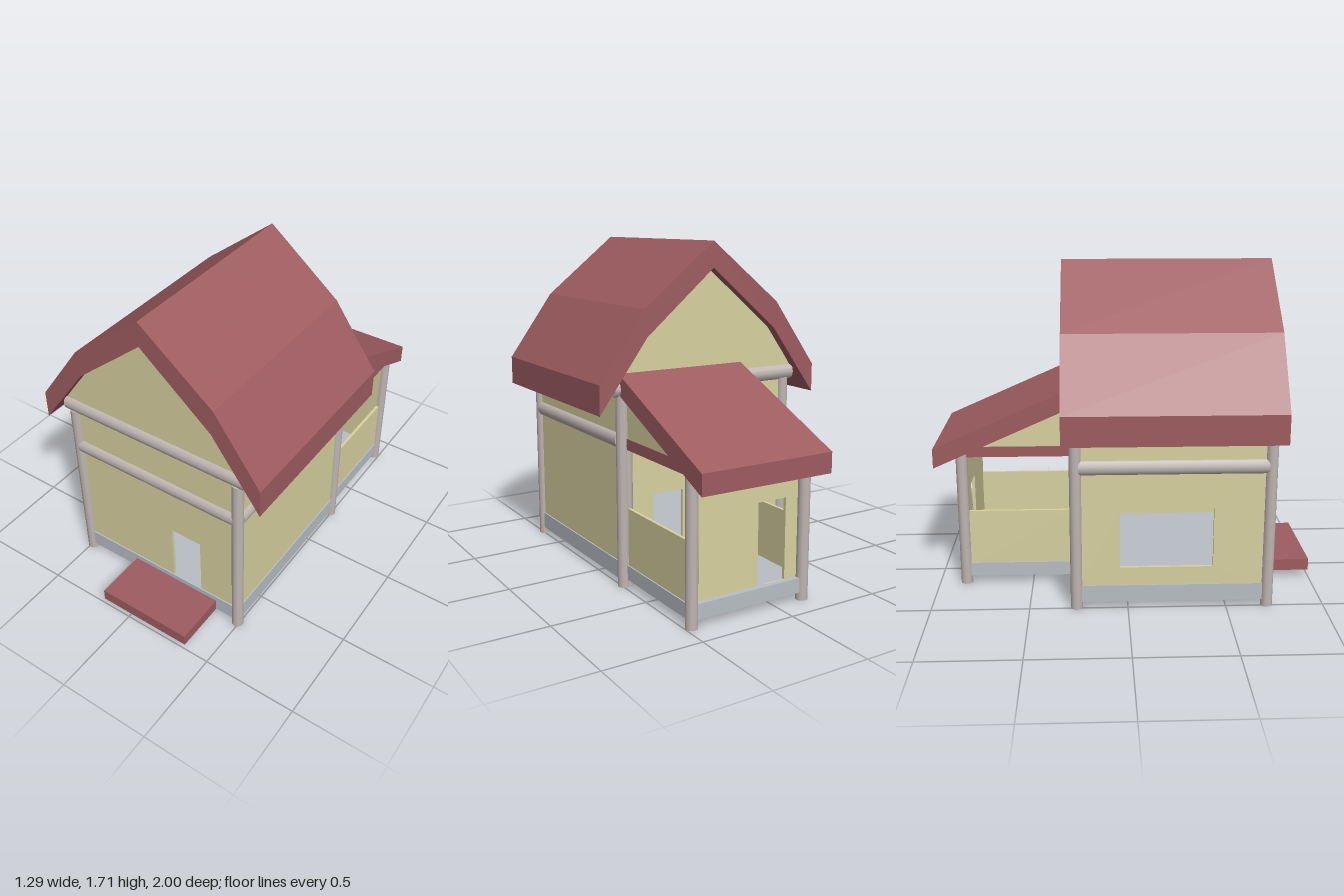
import * as THREE from 'three';

const mat = (name, color) => {
  const m = new THREE.MeshStandardMaterial({ color });
  m.name = name;
  return m;
};

export function createModel() {
  const group = new THREE.Group();
  const red = mat('roofRed', 0x9e5c60);
  const cream = mat('wallCream', 0xd8d1a0);
  const timber = mat('timberGrey', 0xc0b6b3);
  const stone = mat('floorGrey', 0xb8bec5);

  const add = (name, geo, material) => {
    const mesh = new THREE.Mesh(geo, material);
    mesh.name = name;
    group.add(mesh);
    return mesh;
  };
  const box = (name, material, [x0, x1], [y0, y1], [z0, z1]) =>
    add(name, new THREE.BoxGeometry(x1 - x0, y1 - y0, z1 - z0), material)
      .position.set((x0 + x1) / 2, (y0 + y1) / 2, (z0 + z1) / 2);

  // Extruded outline with optional rectangular holes [u0, u1, v0, v1]
  const plate = (pts, depth, holes = []) => {
    const shape = new THREE.Shape(pts.map(p => new THREE.Vector2(...p)));
    for (const [a, b, c, d] of holes)
      shape.holes.push(new THREE.Path([[a, c], [a, d], [b, d], [b, c]].map(p => new THREE.Vector2(...p))));
    return new THREE.ExtrudeGeometry(shape, { depth, bevelEnabled: false }).translate(0, 0, -depth / 2);
  };
  const rect = (a, b, c, d) => [[a, c], [b, c], [b, d], [a, d]];
  // Plate facing z, and plate facing x (outline given as z, y)
  const plateZ = (name, m, z, pts, depth, holes) =>
    add(name, plate(pts, depth, holes).translate(0, 0, z), m);
  const plateX = (name, m, x, pts, depth, holes) =>
    add(name, plate(pts, depth, holes).rotateY(-Math.PI / 2).translate(x, 0, 0), m);

  // Round timbers
  const post = (name, x, z, h, r = 0.031) =>
    add(name, new THREE.CylinderGeometry(r, r, h, 10), timber).position.set(x, h / 2, z);
  const beam = (name, axis, length, x, y, z) => {
    const g = new THREE.CylinderGeometry(0.04, 0.04, length, 10);
    if (axis === 'x') g.rotateZ(Math.PI / 2); else g.rotateX(Math.PI / 2);
    add(name, g.scale(axis === 'x' ? 1 : 0.8, 1, axis === 'x' ? 0.8 : 1), timber).position.set(x, y, z);
  };

  // Main house frame
  const W = 0.49, ZF = 0.71, ZB = -0.26;
  for (const x of [-W, W]) {
    for (const z of [ZF, ZB]) post('mainPost', x, z, 0.98);
    beam('sideRail', 'z', 0.94, x, 0.75, (ZF + ZB) / 2);
  }
  for (const z of [ZF, ZB]) {
    beam('endRail', 'x', 0.96, 0, 0.75, z);
    beam('topBeam', 'x', 1.08, 0, 1.01, z);
  }
  box('mainFloor', stone, [-0.505, 0.505], [0.035, 0.125], [-0.275, 0.725]);

  // Main house walls with gables, doorways and a window
  const gable = [[-W, 0.1], [W, 0.1], [W, 1.03], [0.535, 1.045], [0.385, 1.26], [0, 1.59],
    [-0.385, 1.26], [-0.535, 1.045], [-W, 1.03]];
  plateZ('frontWall', cream, ZF, gable, 0.016, [[0.09, 0.267, 0.125, 0.455]]);
  plateZ('backWall', cream, ZB, gable, 0.016, [[0.145, 0.32, 0.125, 0.455]]);
  plateX('leftWall', cream, W, rect(ZB, ZF, 0.1, 1.1), 0.016);
  plateX('rightWall', cream, -W, rect(ZB, ZF, 0.1, 1.1), 0.016, [[-0.04, 0.43, 0.22, 0.53]]);

  // Two-pitch main roof
  plateZ('mainRoof', red, 0.2175, [[0, 1.712], [-0.395, 1.395], [-0.643, 1.05], [-0.643, 0.9],
    [-0.38, 1.26], [0, 1.58], [0.38, 1.26], [0.643, 0.9], [0.643, 1.05], [0.395, 1.395]], 1.085);

  // Rear porch frame, floor and ceiling
  const XL = 0.468, XR = -0.168, ZP = -0.857;
  for (const x of [XR, XL]) {
    post('porchPost', x, ZP, 0.735);
    post('porchInnerPost', x, ZB, 0.97);
  }
  box('porchFloor', stone, [XR - 0.015, XL + 0.015], [0.04, 0.115], [ZP - 0.015, -0.27]);
  box('porchCeiling', red, [XR - 0.012, XL + 0.012], [0.71, 0.765], [-0.83, -0.27]);

  // Porch walls: low sides, side gables and a back wall with a doorway
  for (const x of [XR, XL]) {
    plateX('porchSideWall', cream, x, rect(-0.85, -0.27, 0.1, 0.41), 0.016);
    plateX('porchSideGable', cream, x, [[-0.8, 0.76], [-0.27, 0.76], [-0.27, 0.99]], 0.016);
  }
  plateZ('porchBackWall', cream, -0.835, rect(XR, XL, 0.1, 0.735), 0.016, [[-0.07, 0.09, 0.115, 0.525]]);

  // Sloping porch roof
  plateX('porchRoof', red, 0.15, [[-1, 0.66], [-0.265, 0.985], [-0.265, 1.087], [-1, 0.763]], 0.72);

  // Front step
  box('frontStep', red, [-0.16, 0.365], [0.035, 0.098], [0.725, 1]);

  return group;
}
